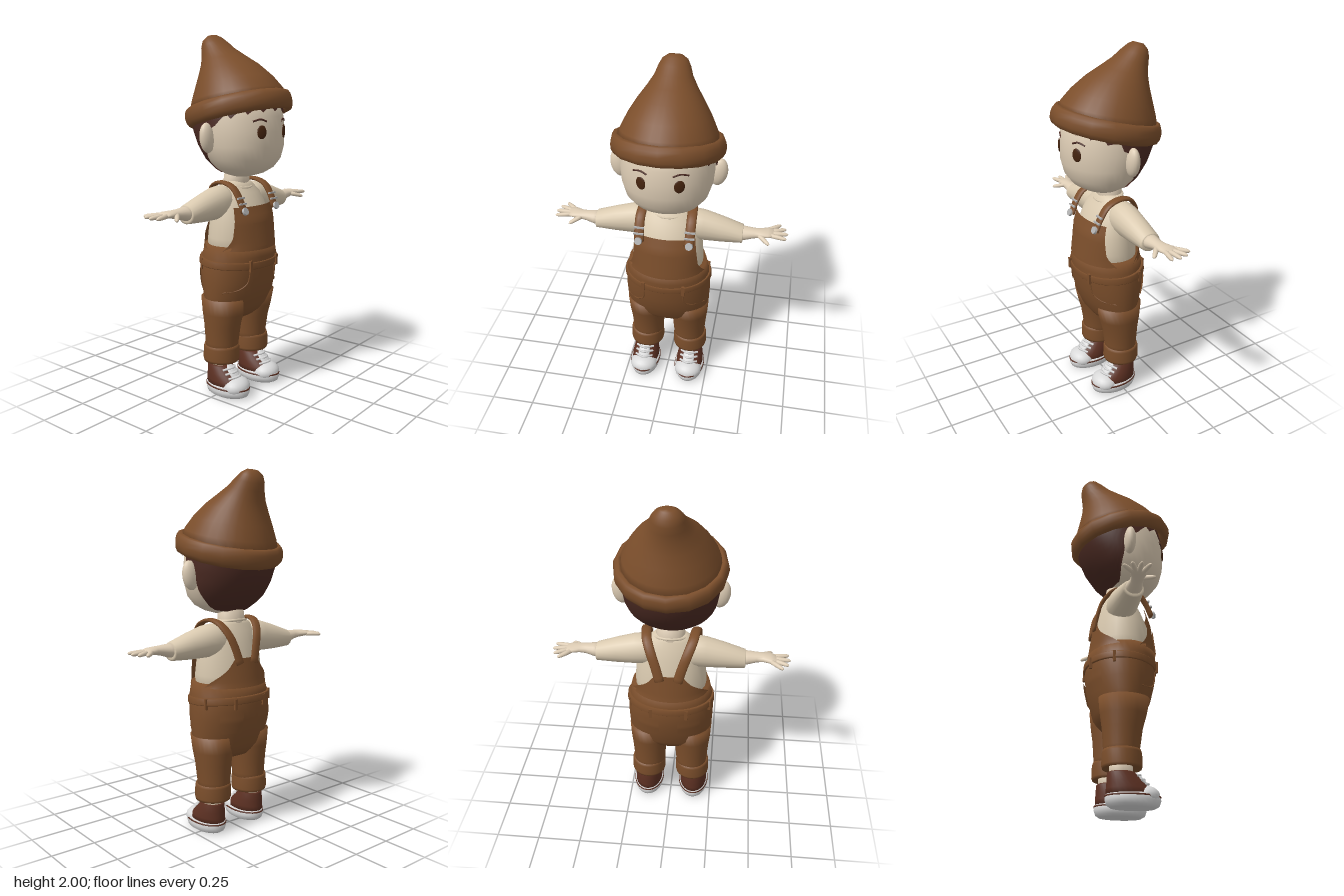
import * as THREE from 'three';

const mat = (name, color, side = THREE.FrontSide) => {
  const m = new THREE.MeshStandardMaterial({ color, side });
  m.name = name;
  return m;
};
const V = (x, y, z) => new THREE.Vector3(x, y, z);

// Piecewise-linear lookup in rows keyed by their first number (ascending)
function lookup(rows, t) {
  if (t <= rows[0][0]) return rows[0];
  for (let i = 1; i < rows.length; i++) {
    if (t > rows[i][0]) continue;
    const a = rows[i - 1], b = rows[i], k = (t - a[0]) / (b[0] - a[0]);
    return a.map((v, j) => v + (b[j] - v) * k);
  }
  return rows[rows.length - 1];
}

// Skin over elliptical rings { c, u, v }, closed at both ends
function loft(rings, n = 24) {
  const pos = [], idx = [], last = rings.length - 1;
  for (const { c, u, v } of rings)
    for (let i = 0; i < n; i++) {
      const a = (i / n) * Math.PI * 2;
      const p = c.clone().addScaledVector(u, Math.cos(a)).addScaledVector(v, Math.sin(a));
      pos.push(p.x, p.y, p.z);
    }
  for (const r of [rings[0], rings[last]]) pos.push(r.c.x, r.c.y, r.c.z);
  const axis = rings[last].c.clone().sub(rings[0].c);
  const outward = rings[0].u.clone().cross(rings[0].v).dot(axis) > 0;
  const tri = (a, b, c) => (outward ? idx.push(a, b, c) : idx.push(a, c, b));
  for (let i = 0; i < n; i++) {
    const j = (i + 1) % n;
    for (let r = 0; r < last; r++) {
      tri(r * n + i, r * n + j, (r + 1) * n + j);
      tri(r * n + i, (r + 1) * n + j, (r + 1) * n + i);
    }
    tri((last + 1) * n, j, i);
    tri((last + 1) * n + 1, last * n + i, last * n + j);
  }
  const g = new THREE.BufferGeometry();
  g.setAttribute('position', new THREE.Float32BufferAttribute(pos, 3));
  g.setIndex(idx);
  g.computeVertexNormals();
  return g;
}
// Upright rings from rows [y, zFront, zBack, halfWidth, yBack]
const upright = (rows, cx = 0, n = 28) => loft(rows.map(([y, f, b, rx, yb = y]) => ({
  c: V(cx, (y + yb) / 2, (f + b) / 2), u: V(rx, 0, 0), v: V(0, (y - yb) / 2, (f - b) / 2),
})), n);
// Sideways rings from rows [x, y, z, halfHeight, halfDepth]
const sideways = (rows, s) => loft(rows.map(([x, y, z, ry, rz]) => ({
  c: V(s * x, y, z), u: V(0, ry, 0), v: V(0, 0, rz),
})), 18);
const tube = (pts, r, seg = 12) =>
  new THREE.TubeGeometry(new THREE.CatmullRomCurve3(pts), seg, r, 6);

// Point on an upright body at x, y; side +1 front, -1 back
function onBody(rows, x, y, side = 1, off = 0) {
  const [, f, b, rx] = lookup(rows, y);
  const k = Math.sqrt(Math.max(0, 1 - (x / rx) ** 2));
  return V(x, y, (f + b) / 2 + side * ((f - b) / 2 * k + off));
}
// Cloth panel hugging a body; width(y) gives the half width
function panel(rows, y0, y1, width, side, off, cx = 0) {
  const g = new THREE.PlaneGeometry(2, 1, 16, 10), p = g.attributes.position;
  for (let i = 0; i < p.count; i++) {
    const y = y0 + (p.getY(i) + 0.5) * (y1 - y0);
    const q = onBody(rows, cx + side * p.getX(i) * width(y), y, side, off);
    p.setXYZ(i, q.x, q.y, q.z);
  }
  g.computeVertexNormals();
  return g;
}

const HEAD = [[1.232, 0.08, -0.03, 0.06], [1.25, 0.14, -0.06, 0.125], [1.28, 0.19, -0.1, 0.178],
  [1.33, 0.228, -0.15, 0.22], [1.4, 0.247, -0.2, 0.243], [1.48, 0.25, -0.235, 0.252],
  [1.56, 0.243, -0.25, 0.25], [1.63, 0.22, -0.23, 0.235], [1.7, 0.15, -0.18, 0.17]];
const SHIRT = [[0.75, 0.165, -0.155, 0.2], [0.9, 0.168, -0.152, 0.203], [1, 0.152, -0.138, 0.195],
  [1.08, 0.118, -0.122, 0.18], [1.14, 0.085, -0.105, 0.16], [1.18, 0.055, -0.088, 0.12], [1.205, 0.045, -0.08, 0.085]];
const CLOTH = [[0.43, 0.06, -0.09, 0.17], [0.46, 0.095, -0.115, 0.215], [0.5, 0.125, -0.14, 0.234],
  [0.58, 0.16, -0.163, 0.243], [0.66, 0.18, -0.183, 0.247], [0.74, 0.19, -0.19, 0.246],
  [0.8, 0.194, -0.183, 0.236], [0.86, 0.188, -0.17, 0.222], [1, 0.168, -0.15, 0.225], [1.09, 0.132, -0.128, 0.225]];
const HAT = [[1.66, 0.265, -0.27, 0.275, 1.53], [1.72, 0.24, -0.262, 0.25, 1.62], [1.78, 0.18, -0.245, 0.215, 1.7],
  [1.84, 0.1, -0.232, 0.172, 1.77], [1.885, 0.02, -0.228, 0.13, 1.83], [1.925, -0.05, -0.235, 0.098, 1.88],
  [1.962, -0.1, -0.24, 0.083, 1.92], [1.988, -0.14, -0.235, 0.065, 1.955], [1.999, -0.165, -0.215, 0.035, 1.985]];

export function createModel() {
  const root = new THREE.Group();
  const brown = mat('brown cloth', 0x7b4e2b, THREE.DoubleSide);
  const skin = mat('skin', 0xddccb4);
  const cream = mat('cream shirt', 0xdacab0);
  const hairMat = mat('dark brown hair', 0x4b2a22, THREE.DoubleSide);
  const eyeMat = mat('eye brown', 0x45240f);
  const shoeMat = mat('shoe brown', 0x5c3022);
  const white = mat('white rubber', 0xd9d9d9);
  const metal = mat('grey metal', 0xb4b4b4);
  const add = (name, geo, m, parent = root) => {
    const mesh = new THREE.Mesh(geo, m);
    mesh.name = name;
    parent.add(mesh);
    return mesh;
  };

  // Head and neck
  add('head', upright(HEAD, 0, 40), skin);
  add('neck', upright([[1.15, 0.05, -0.09, 0.085], [1.2, 0.05, -0.085, 0.08], [1.28, 0.06, -0.075, 0.075]]), skin);

  // Hair shell: jagged fringe, sideburns and a nape that tapers down
  const HAIRLINE = [[-1, 1.245], [-0.55, 1.26], [-0.25, 1.38], [-0.1, 1.48], [0.3, 1.53], [0.6, 1.56], [1, 1.585]];
  const hair = new THREE.PlaneGeometry(1, 1, 72, 10), hp = hair.attributes.position;
  for (let i = 0; i < hp.count; i++) {
    const step = Math.round((hp.getX(i) + 0.5) * 72), a = (step / 72) * Math.PI * 2 - Math.PI;
    const s = Math.cos(a), low = lookup(HAIRLINE, s)[1] + (s > 0.2 ? (step % 4) * 0.011 : 0);
    const y = low + (hp.getY(i) + 0.5) * (1.635 - low);
    const [, f, b, rx] = lookup(HEAD, y);
    hp.setXYZ(i, Math.sin(a) * (rx + 0.009), y, (f + b) / 2 + s * ((f - b) / 2 + 0.009));
  }
  hair.computeVertexNormals();
  add('hair', hair, hairMat);

  // Hat and its rolled brim
  add('hat', upright(HAT, 0, 32), brown);
  const brim = add('hatBrim', new THREE.TorusGeometry(0.272, 0.029, 12, 16).scale(1, 1, 1.85).rotateX(Math.PI / 2), brown);
  brim.position.set(0, 1.593, 0.002);
  brim.rotation.x = -0.235;

  // Shirt body and collar
  add('shirt', upright(SHIRT), cream);
  const collar = add('collar', new THREE.TorusGeometry(0.093, 0.008, 8, 28).rotateX(Math.PI / 2), cream);
  collar.scale.z = 0.8;
  collar.position.set(0, 1.183, -0.01);
  collar.rotation.x = 0.25;

  // Overalls: hips, bib, back panel, waistband and chest pocket
  add('overallHips', upright(CLOTH.slice(0, 8), 0, 36), brown);
  const BIB = [[0.84, 0.218], [0.87, 0.2], [0.91, 0.185], [1.02, 0.172], [1.085, 0.165]];
  add('bib', panel(CLOTH, 0.84, 1.075, (y) => lookup(BIB, y)[1], 1, 0.003), brown);
  const BACK = [[0.84, 0.218], [0.88, 0.19], [0.94, 0.12], [1.0, 0.075]];
  add('backPanel', panel(CLOTH, 0.84, 1.0, (y) => lookup(BACK, y)[1], -1, 0.003), brown);
  add('waistband', upright([[0.735, 0.192, -0.194, 0.249, 0.755], [0.74, 0.197, -0.199, 0.253, 0.76],
    [0.77, 0.199, -0.197, 0.25, 0.79], [0.775, 0.194, -0.19, 0.245, 0.795]], 0, 36), brown);
  add('chestPocket', panel(CLOTH, 0.86, 0.99, (y) => Math.min(0.085, 0.07 + (y - 0.86)), 1, 0.01), brown);

  for (const s of [1, -1]) {
    const side = new THREE.Group();
    side.name = s > 0 ? 'leftParts' : 'rightParts';
    root.add(side);
    const part = (name, geo, m) => add(name, geo, m, side);

    // Face and ear
    const eye = part('eye', new THREE.SphereGeometry(1, 20, 14).scale(0.028, 0.036, 0.007), eyeMat);
    eye.position.copy(onBody(HEAD, s * 0.098, 1.48, 1, 0.001));
    eye.rotation.y = s * 0.4;
    part('eyebrow', tube([[0.065, 1.535], [0.1, 1.546], [0.14, 1.535]].map(([x, y]) => onBody(HEAD, s * x, y, 1, 0.001)), 0.005), hairMat);
    const ear = part('ear', new THREE.SphereGeometry(1, 18, 14).scale(0.048, 0.08, 0.033), skin);
    ear.position.set(s * 0.265, 1.45, 0);
    ear.rotation.z = -s * 0.15;

    // Sleeve, forearm and hand
    part('sleeve', sideways([[0.08, 1.095, -0.02, 0.08, 0.075], [0.14, 1.097, -0.02, 0.09, 0.083], [0.2, 1.092, -0.02, 0.088, 0.08],
      [0.3, 1.077, -0.02, 0.073, 0.07], [0.412, 1.06, -0.02, 0.05, 0.058], [0.416, 1.06, -0.02, 0.04, 0.047]], s), cream);
    part('hand', sideways([[0.38, 1.063, -0.02, 0.04, 0.048], [0.43, 1.067, -0.018, 0.036, 0.043], [0.475, 1.072, -0.018, 0.027, 0.034],
      [0.51, 1.075, -0.02, 0.022, 0.036], [0.55, 1.077, -0.028, 0.018, 0.046], [0.58, 1.075, -0.035, 0.012, 0.042]], s), skin);
    const fingers = [[0.555, -0.06, 0.618, -0.12], [0.565, -0.045, 0.648, -0.083],
      [0.565, -0.028, 0.66, -0.036], [0.56, -0.008, 0.653, 0.011], [0.5, 0, 0.562, 0.058]];
    fingers.forEach(([x0, z0, x1, z1], i) => {
      const thumb = i === 4, a = V(s * x0, 1.075, z0), b = V(s * x1, thumb ? 1.055 : 1.071, z1);
      const d = b.clone().sub(a).normalize(), v = V(0, 1, 0).cross(d).normalize(), u = d.clone().cross(v);
      const rings = [[0, 0.014], [0.45, 0.0135], [0.8, 0.0115], [0.94, 0.008], [1, 0.002]];
      part(thumb ? 'thumb' : 'finger', loft(rings.map(([t, r]) => ({
        c: a.clone().lerp(b, t), u: u.clone().multiplyScalar(r * 0.9), v: v.clone().multiplyScalar(r),
      })), 10), skin);
    });

    // Shoulder strap with buckle and button
    const path = new THREE.CatmullRomCurve3([[0.137, 1.05, 0.148], [0.14, 1.12, 0.118], [0.14, 1.178, 0.075], [0.135, 1.203, 0],
      [0.125, 1.188, -0.07], [0.1, 1.13, -0.12], [0.075, 1.06, -0.142], [0.05, 0.97, -0.157]].map(([x, y, z]) => V(s * x, y, z)));
    part('strap', loft(path.getPoints(28).map((c, i) => {
      const t = path.getTangent(i / 28), v = t.clone().cross(V(1, 0, 0)).normalize(), u = v.clone().cross(t);
      return { c, u: u.multiplyScalar(0.027), v: v.multiplyScalar(0.011) };
    }), 10), brown);
    const button = part('button', new THREE.CylinderGeometry(0.02, 0.022, 0.012, 16).rotateX(1.2), metal);
    button.position.set(s * 0.14, 1.06, 0.158);
    for (const [y, z] of [[1.098, 0.141], [1.128, 0.126]]) {
      const bar = part('buckle', new THREE.BoxGeometry(0.056, 0.009, 0.01), metal);
      bar.position.set(s * 0.14, y, z);
    }

    // Belt loops and pockets
    for (const [x, face] of [[0.115, 1], [0.1, -1], [0.225, -1]]) {
      const loop = part('beltLoop', new THREE.BoxGeometry(0.018, 0.06, 0.014), brown);
      loop.position.copy(onBody(CLOTH, s * x, 0.757, face, 0.008));
    }
    part('frontPocketSeam', tube([[0.11, 0.73], [0.12, 0.66], [0.16, 0.625], [0.225, 0.61]]
      .map(([x, y]) => onBody(CLOTH, s * x, y, 1, 0.001)), 0.004), brown);
    part('backPocket', panel(CLOTH, 0.59, 0.71, (y) => Math.min(0.062, 0.045 + (y - 0.59) * 0.6), -1, 0.009, s * 0.115), brown);

    // Trouser leg and rolled cuff
    part('leg', upright([[0.22, 0.07, -0.11, 0.09], [0.3, 0.075, -0.113, 0.094], [0.4, 0.09, -0.12, 0.102],
      [0.47, 0.11, -0.13, 0.11], [0.56, 0.13, -0.14, 0.115]], s * 0.128), brown);
    part('cuff', upright([[0.2, 0.065, -0.105, 0.085], [0.19, 0.08, -0.117, 0.098], [0.205, 0.085, -0.122, 0.102],
      [0.27, 0.083, -0.12, 0.1], [0.285, 0.078, -0.115, 0.096], [0.28, 0.068, -0.105, 0.086]], s * 0.134), brown);

    // Ankle and sneaker
    const cx = s * 0.142;
    part('ankle', upright([[0.13, 0.035, -0.085, 0.056], [0.21, 0.035, -0.085, 0.058]], cx), skin);
    part('sole', upright([[0, 0.145, -0.08, 0.068], [0.012, 0.167, -0.098, 0.085], [0.035, 0.176, -0.106, 0.092],
      [0.058, 0.173, -0.105, 0.09], [0.066, 0.163, -0.098, 0.082]], cx), white);
    part('soleStripe', upright([[0.05, 0.172, -0.104, 0.088], [0.051, 0.1765, -0.1075, 0.093],
      [0.058, 0.1755, -0.107, 0.092], [0.059, 0.17, -0.103, 0.088]], cx), shoeMat);
    part('shoeUpper', upright([[0.05, 0.16, -0.1, 0.083], [0.09, 0.13, -0.1, 0.081], [0.125, 0.085, -0.097, 0.074],
      [0.165, 0.05, -0.095, 0.065], [0.172, 0.042, -0.088, 0.058]], cx), shoeMat);
    part('toeCap', new THREE.SphereGeometry(1, 22, 14).scale(0.083, 0.054, 0.075), white).position.set(cx, 0.058, 0.095);
    const tongue = part('tongue', new THREE.SphereGeometry(1, 16, 10).scale(0.036, 0.014, 0.06), white);
    tongue.position.set(cx, 0.132, 0.078);
    tongue.rotation.x = 0.82;
    for (const [y, z] of [[0.112, 0.106], [0.133, 0.084], [0.154, 0.065]])
      part('lace', tube([V(cx - 0.052, y - 0.004, z - 0.026), V(cx, y + 0.008, z + 0.008), V(cx + 0.052, y - 0.004, z - 0.026)], 0.007), white);
  }
  return root;
}
